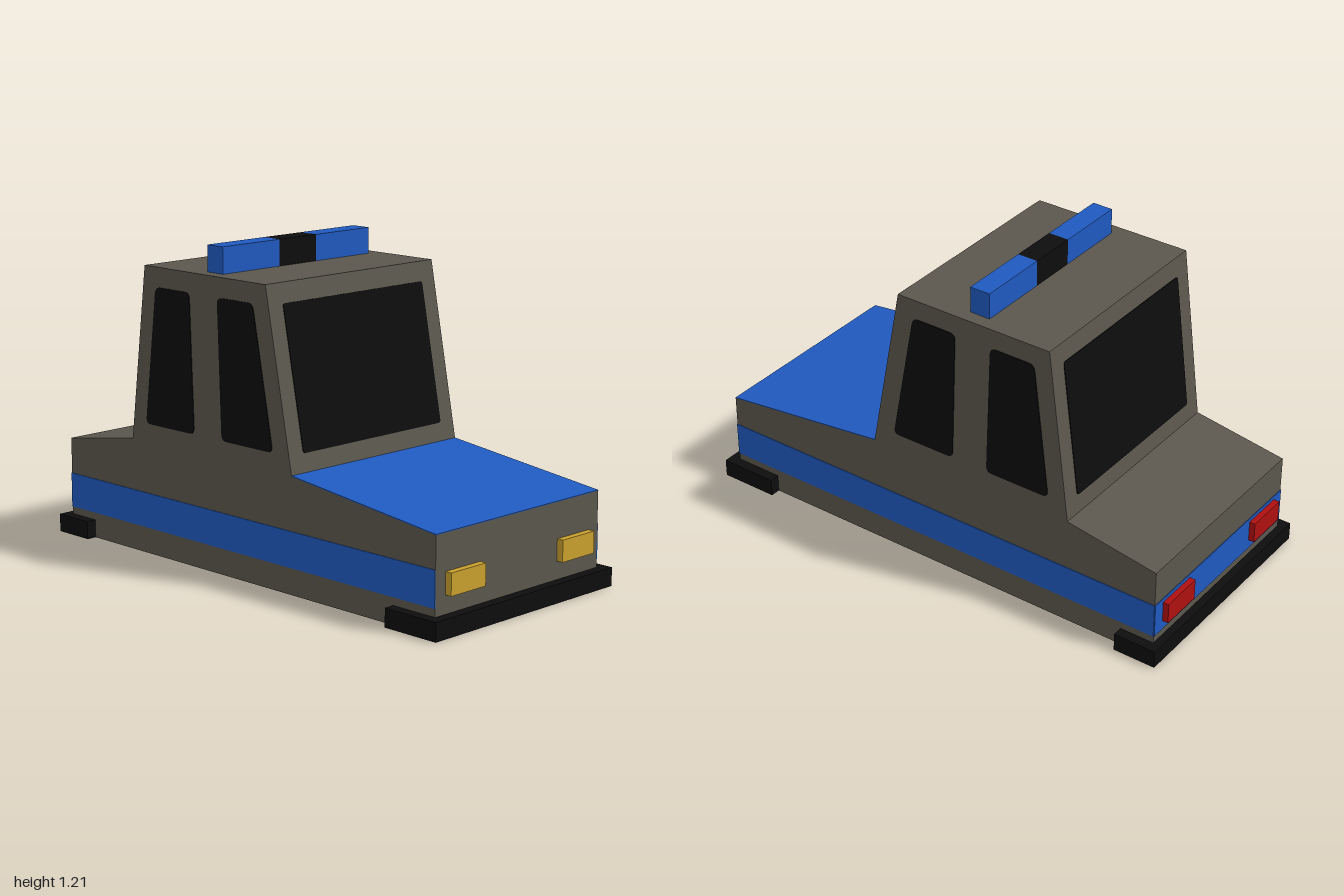
import * as THREE from 'three';

const mat = (name, color) => {
  const m = new THREE.MeshStandardMaterial({ color });
  m.name = name;
  return m;
};

// Closed polygon with softly rounded corners (r = 0 keeps them sharp)
function polygon(points, r = 0) {
  const s = new THREE.Shape();
  const p = points.map(([x, y]) => new THREE.Vector2(x, y));
  p.forEach((c, i) => {
    const prev = p[(i + p.length - 1) % p.length], next = p[(i + 1) % p.length];
    const a = c.clone().add(prev.clone().sub(c).setLength(r));
    const b = c.clone().add(next.clone().sub(c).setLength(r));
    if (i === 0) s.moveTo(a.x, a.y); else s.lineTo(a.x, a.y);
    if (r > 0) s.quadraticCurveTo(c.x, c.y, b.x, b.y);
  });
  s.closePath();
  return s;
}

const extrude = (shape, depth) =>
  new THREE.ExtrudeGeometry(shape, { depth, bevelEnabled: false, curveSegments: 4 });

export function createModel() {
  const car = new THREE.Group();
  car.name = 'car';
  const grey = mat('body grey', 0x5b574d);
  const blue = mat('blue', 0x205ac0);
  const black = mat('black', 0x0d0d0d);
  const amber = mat('headlight amber', 0xc9a02d);
  const red = mat('tail light red', 0xb01010);
  const W = 0.43; // half width of the body
  const T = 0.006; // thickness of painted plates

  const add = (name, geometry, material) => {
    const m = new THREE.Mesh(geometry, material);
    m.name = name;
    car.add(m);
    return m;
  };
  const box = (name, material, x0, x1, y0, y1, z0, z1) =>
    add(name, new THREE.BoxGeometry(x1 - x0, y1 - y0, z1 - z0), material)
      .position.set((x0 + x1) / 2, (y0 + y1) / 2, (z0 + z1) / 2);

  // Body: side profile, the nose points to +x
  const hoodFront = [0.96, 0.355], hoodBack = [0.27, 0.435], roofFront = [0.14, 1.105];
  const roofBack = [-0.51, 1.105], trunkFront = [-0.595, 0.435], trunkBack = [-0.968, 0.375];
  const profile = [[-0.968, 0], [0.96, 0], hoodFront, hoodBack, roofFront, roofBack, trunkFront, trunkBack];
  add('body', extrude(polygon(profile), 2 * W), grey).position.z = -W;

  // Plate lying on a profile edge a-b, between fractions t0 and t1 of it;
  // side is the z direction of the plate's own x axis
  function edgePlate(name, material, a, b, t0, t1, half, r, side) {
    const A = new THREE.Vector3(a[0], a[1], 0), B = new THREE.Vector3(b[0], b[1], 0);
    const len = A.distanceTo(B);
    const shape = polygon([[-half, t0 * len], [half, t0 * len], [half, t1 * len], [-half, t1 * len]], r);
    const X = new THREE.Vector3(0, 0, side), Y = B.sub(A).normalize();
    const Z = X.clone().cross(Y);
    const m = add(name, extrude(shape, T), material);
    m.quaternion.setFromRotationMatrix(new THREE.Matrix4().makeBasis(X, Y, Z));
    m.position.copy(A).addScaledVector(Z, -T / 2);
  }
  edgePlate('hood', blue, hoodFront, hoodBack, 0, 1, W, 0, -1);
  edgePlate('windshield', black, hoodBack, roofFront, 0.105, 0.89, 0.36, 0.012, -1);
  edgePlate('rearWindow', black, trunkFront, roofBack, 0.105, 0.89, 0.36, 0.012, 1);
  edgePlate('rearStripe', blue, [-0.968, 0], trunkBack, 0.1 / 0.375, 0.235 / 0.375, W, 0, 1);

  // Side windows and stripes, on both sides
  const windows = {
    rearSideWindow: [[-0.512, 0.505], [-0.243, 0.505], [-0.262, 1.03], [-0.448, 1.03]],
    frontSideWindow: [[-0.093, 0.505], [0.175, 0.505], [0.075, 1.03], [-0.111, 1.03]],
  };
  for (const z of [W, -W]) {
    for (const [name, pts] of Object.entries(windows))
      add(name, extrude(polygon(pts, 0.025), T), black).position.z = z - T / 2;
    box('sideStripe', blue, -0.968, 0.96, 0.1, 0.235, z - T / 2, z + T / 2);
  }

  // Bumpers wrap around the ends of the body
  function bumper(name, outer, end, inner) {
    const H = 0.47;
    const shape = polygon([[inner, -H], [outer, -H], [outer, H], [inner, H],
      [inner, W], [end, W], [end, -W], [inner, -W]]);
    const g = extrude(shape, 0.07);
    g.rotateX(-Math.PI / 2);
    add(name, g, black);
  }
  bumper('frontBumper', 1, 0.96, 0.765);
  bumper('rearBumper', -1, -0.968, -0.83);

  // Lamps at the four corners and the roof light bar
  for (const s of [1, -1]) {
    const z0 = Math.min(s * 0.205, s * 0.38), z1 = z0 + 0.175;
    box('headlight', amber, 0.95, 0.986, 0.138, 0.22, z0, z1);
    box('tailLight', red, -0.994, -0.96, 0.138, 0.22, z0, z1);
    const b0 = Math.min(s * 0.095, s * 0.377);
    box('roofLight', blue, -0.22, -0.138, 1.105, 1.205, b0, b0 + 0.282);
  }
  box('roofLightCentre', black, -0.22, -0.138, 1.105, 1.205, -0.095, 0.095);

  return car;
}
